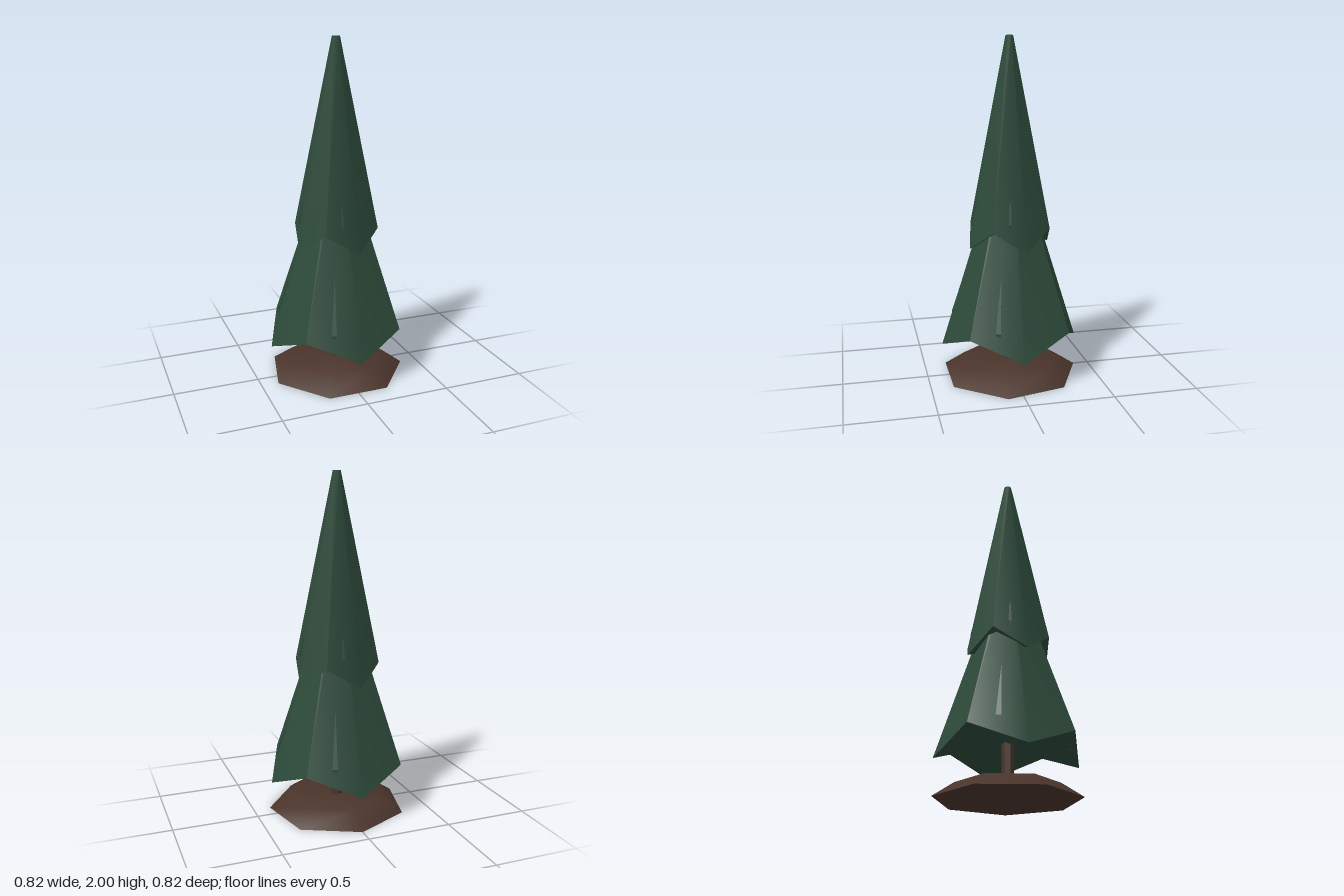
import * as THREE from 'three';
import { toCreasedNormals } from 'three/addons/utils/BufferGeometryUtils.js';
import { ConvexGeometry } from 'three/addons/geometries/ConvexGeometry.js';

const CREASE = 0.7;
const green = new THREE.MeshStandardMaterial({ color: 0x2d4a3a });
green.name = 'pineGreen';
const brown = new THREE.MeshStandardMaterial({ color: 0x4a342b });
brown.name = 'barkBrown';

function part(name, geometry, material) {
  const mesh = new THREE.Mesh(geometry, material);
  mesh.name = name;
  return mesh;
}

// Eight-sided cone whose rim zigzags between a low and a high level
function tierGeometry({ radius, low, high, topRadius, top, capY }) {
  const rim = [], crown = [], pos = [];
  for (let i = 0; i < 8; i++) {
    const a = i * Math.PI / 4;
    const s = Math.sin(a), c = Math.cos(a);
    rim.push([s * radius, i % 2 ? high : low, c * radius]);
    crown.push([s * topRadius, top, c * topRadius]);
  }
  const tri = (...corners) => corners.forEach(p => pos.push(...p));
  for (let i = 0; i < 8; i++) {
    const j = (i + 1) % 8;
    tri(rim[i], rim[j], crown[j]);
    tri(rim[i], crown[j], crown[i]);
    tri(crown[i], crown[j], [0, top, 0]);
    tri(rim[j], rim[i], [0, capY, 0]);
  }
  const g = new THREE.BufferGeometry();
  g.setAttribute('position', new THREE.Float32BufferAttribute(pos, 3));
  return toCreasedNormals(g, CREASE);
}

// Thin twig wedge, wide at its foot and pointed at the top, facing +z
function twigGeometry({ tip, foot, under, inner, width }) {
  const w = width / 2;
  return new ConvexGeometry([
    new THREE.Vector3(0, tip[1], tip[0]),
    new THREE.Vector3(-w, foot[1], foot[0]),
    new THREE.Vector3(w, foot[1], foot[0]),
    new THREE.Vector3(0, under[1], under[0]),
    new THREE.Vector3(0, inner[1], inner[0]),
  ]);
}

function tier(name, shape, twig, turn) {
  const group = new THREE.Group();
  group.name = name;
  group.add(part(name + 'Needles', tierGeometry(shape), green));
  const geometry = twigGeometry(twig);
  for (let i = 0; i < 4; i++) {
    const mesh = part(name + 'Twig', geometry, green);
    mesh.rotation.y = -Math.PI / 8 + i * Math.PI / 2;
    group.add(mesh);
  }
  group.rotation.y = turn;
  return group;
}

export function createModel() {
  const tree = new THREE.Group();
  tree.name = 'pineTree';

  // Earth mound with seven sides
  const mound = new THREE.CylinderGeometry(0.29, 0.41, 0.08, 7, 1, false, Math.PI);
  mound.translate(0, 0.04, 0);
  tree.add(part('mound', toCreasedNormals(mound, CREASE), brown));

  // Trunk
  const trunk = new THREE.CylinderGeometry(0.034, 0.036, 0.34, 7, 1, false, Math.PI);
  trunk.translate(0, 0.22, 0);
  tree.add(part('trunk', toCreasedNormals(trunk, CREASE), brown));

  // Two stacked tiers of needles
  tree.add(tier('lowerTier',
    { radius: 0.41, low: 0.2, high: 0.32, topRadius: 0.03, top: 1.4, capY: 0.31 },
    { tip: [0.25, 0.68], foot: [0.353, 0.36], under: [0.352, 0.26], inner: [0.265, 0.29], width: 0.03 }, 0));
  tree.add(tier('upperTier',
    { radius: 0.25, low: 0.79, high: 0.91, topRadius: 0.023, top: 2, capY: 0.88 },
    { tip: [0.153, 1.24], foot: [0.217, 0.955], under: [0.214, 0.85], inner: [0.16, 0.87], width: 0.018 }, 0.2));

  return tree;
}
